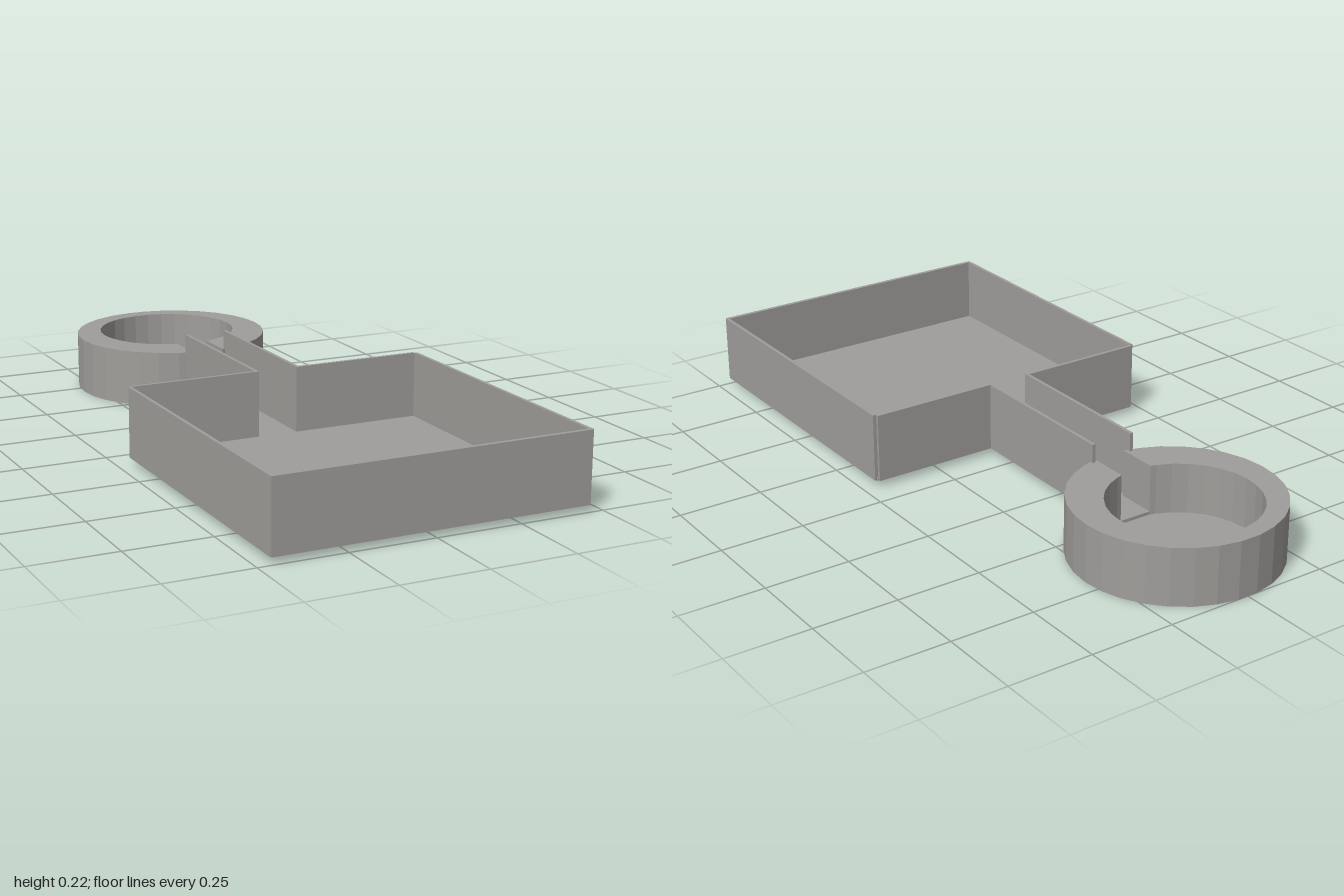
import * as THREE from 'three';

export function createModel() {
  const model = new THREE.Group();
  const grey = new THREE.MeshStandardMaterial({ color: 0xa09e9b });
  grey.name = 'warm grey';

  const add = (name, geometry) => {
    const mesh = new THREE.Mesh(geometry, grey);
    mesh.name = name;
    model.add(mesh);
  };
  // Box given by its limits on each axis
  const box = (name, x0, x1, y0, y1, z0, z1) =>
    add(name, new THREE.BoxGeometry(x1 - x0, y1 - y0, z1 - z0)
      .translate((x0 + x1) / 2, (y0 + y1) / 2, (z0 + z1) / 2));
  // Plan outline (x, -z) raised from y0 to y1
  const slab = (name, points, y0, y1) =>
    add(name, new THREE.ExtrudeGeometry(new THREE.Shape(points), { depth: y1 - y0, bevelEnabled: false })
      .rotateX(-Math.PI / 2).translate(0, y0, 0));
  // Thirty-sided circle in plan
  const circle = (r, cy) => Array.from({ length: 30 }, (_, i) => {
    const a = (i * Math.PI) / 15;
    return new THREE.Vector2(r * Math.cos(a), cy + r * Math.sin(a));
  });
  // The same circle opened at the slot, running from its right lip to its left lip
  const slot = 0.05;
  const openCircle = (r, cy) => {
    const lip = cy - Math.sqrt(r * r - slot * slot);
    const pts = circle(r, cy);
    const ordered = [...pts.slice(23), ...pts.slice(0, 23)]
      .filter((p) => p.y > cy || Math.abs(p.x) > slot + 0.001);
    return [new THREE.Vector2(slot, lip), ...ordered, new THREE.Vector2(-slot, lip)];
  };

  const base = 0.02, floor = 0.03, top = 0.225;

  // Square tray
  box('trayFloor', -0.457, 0.457, base, floor, 0.085, 0.995);
  box('trayFrontWall', -0.46, 0.46, base, top, 0.988, 1);
  for (const [side, s] of [['left', 1], ['right', -1]]) {
    const wall = (name, a, b, z0, z1) =>
      box(side + name, Math.min(a * s, b * s), Math.max(a * s, b * s), base, top, z0, z1);
    wall('TrayWall', 0.453, 0.463, 0.09, 0.997);
    wall('TrayBackWall', 0.06, 0.453, 0.08, 0.09);
    wall('ChannelWall', 0.06, 0.07, -0.42, 0.09);
  }

  // Channel floor, carried through the slot of the cup
  box('channelFloor', -0.065, 0.065, base, floor, -0.41, 0.085);
  box('slotFloor', -slot, slot, base, floor, -0.526, -0.40);

  // Round cup with an off-centre bore and a slot toward the channel
  slab('cupBase', circle(0.3, 0.702), 0, base);
  slab('cupWall', [...openCircle(0.3, 0.702), ...openCircle(0.215, 0.735).reverse()], base, 0.17);

  return model;
}
